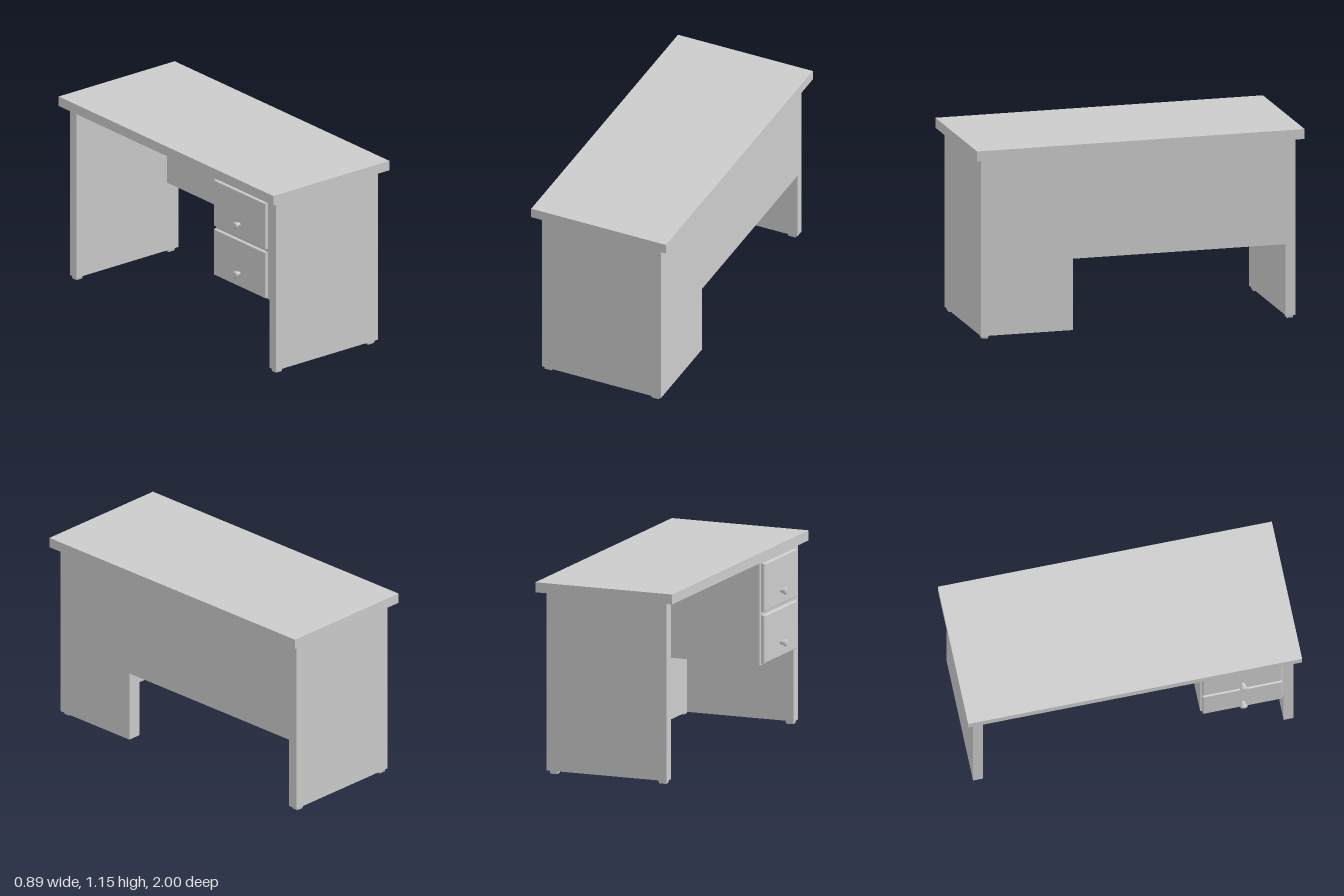
import * as THREE from 'three';

const material = new THREE.MeshStandardMaterial({ color: 0xcccccc });
const flat = new THREE.MeshStandardMaterial({ color: 0xcccccc, flatShading: true });

// Box given by its limits on each axis
function box(name, [x0, x1], [y0, y1], [z0, z1]) {
  const mesh = new THREE.Mesh(new THREE.BoxGeometry(x1 - x0, y1 - y0, z1 - z0), material);
  mesh.position.set((x0 + x1) / 2, (y0 + y1) / 2, (z0 + z1) / 2);
  mesh.name = name;
  return mesh;
}

// Bevelled drawer front with a round knob, facing -x
function makeDrawer(name, y) {
  const drawer = new THREE.Group();
  drawer.name = name;
  const w = 0.232, h = 0.137, bevel = 0.008;
  const shape = new THREE.Shape([
    new THREE.Vector2(-w, -h), new THREE.Vector2(w, -h),
    new THREE.Vector2(w, h), new THREE.Vector2(-w, h),
  ]);
  const panel = new THREE.Mesh(new THREE.ExtrudeGeometry(shape, {
    depth: 0.011, bevelThickness: bevel, bevelSize: bevel, bevelSegments: 2,
  }), flat);
  panel.position.z = bevel;
  panel.name = 'drawerFront';

  const profile = [[0.013, 0], [0.013, 0.022], [0.022, 0.026], [0.023, 0.034], [0.015, 0.04], [0, 0.041]]
    .map(([r, d]) => new THREE.Vector2(r, d));
  const knob = new THREE.Mesh(new THREE.LatheGeometry(profile, 12), flat);
  knob.rotation.x = Math.PI / 2;
  knob.position.set(0, -0.06, 0.026);
  knob.name = 'drawerKnob';

  drawer.add(panel, knob);
  drawer.rotation.y = -Math.PI / 2;
  drawer.position.set(-0.378, y, 0.65);
  return drawer;
}

// Small foot, narrowing toward the floor
function makeFoot(x, z) {
  const geometry = new THREE.BoxGeometry(0.05, 0.02, 0.042);
  const p = geometry.attributes.position;
  for (let i = 0; i < p.count; i++) {
    if (p.getY(i) < 0) p.setXYZ(i, p.getX(i) * 0.88, p.getY(i), p.getZ(i) * 0.85);
  }
  const foot = new THREE.Mesh(geometry, flat);
  foot.position.set(x, 0.01, z);
  foot.name = 'foot';
  return foot;
}

export function createModel() {
  const desk = new THREE.Group();
  desk.name = 'desk';

  // Top and the two end panels
  desk.add(
    box('deskTop', [-0.43, 0.445], [1.09, 1.15], [-1, 1]),
    box('frontEndPanel', [-0.378, 0.392], [0.02, 1.09], [0.9, 0.96]),
    box('backEndPanel', [-0.378, 0.392], [0.02, 1.09], [-0.96, -0.9]),
  );

  // L-shaped side panel joining the ends
  const outline = new THREE.Shape();
  [[-0.9, 1.09], [-0.9, 0.45], [0.4, 0.45], [0.4, 0.02], [0.9, 0.02], [0.9, 1.09]]
    .forEach(([z, y], i) => (i ? outline.lineTo(-z, y) : outline.moveTo(-z, y)));
  const modesty = new THREE.Mesh(
    new THREE.ExtrudeGeometry(outline, { depth: 0.087, bevelEnabled: false }), material);
  modesty.rotation.y = Math.PI / 2;
  modesty.position.x = 0.305;
  modesty.name = 'modestyPanel';
  desk.add(modesty);

  // Drawer cabinet hung under the top
  desk.add(
    box('drawerCabinet', [-0.378, 0.305], [0.45, 1.09], [0.4, 0.9]),
    makeDrawer('upperDrawer', 0.915),
    makeDrawer('lowerDrawer', 0.605),
  );

  for (const x of [-0.346, 0.35]) for (const z of [-0.93, 0.93]) desk.add(makeFoot(x, z));
  return desk;
}
